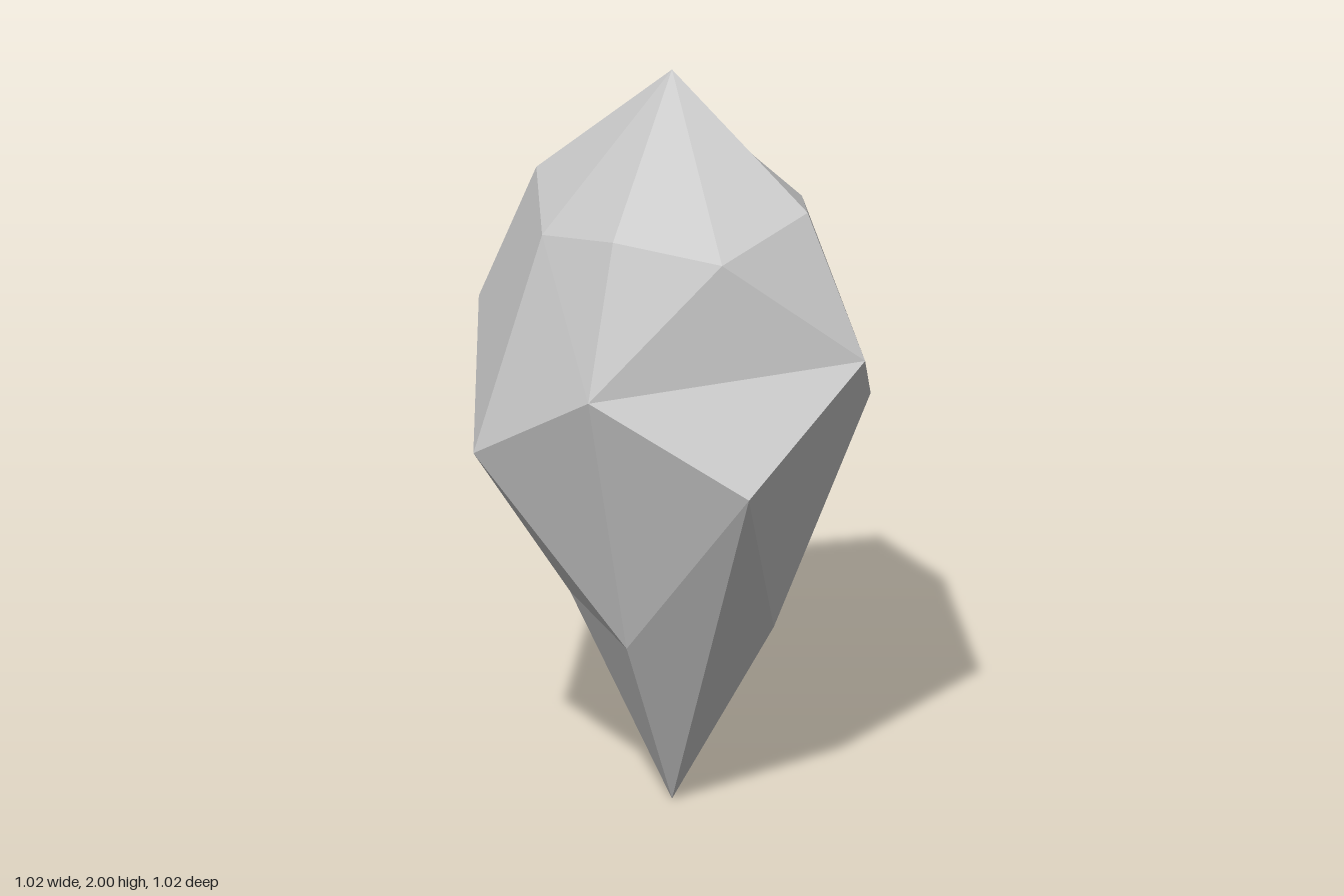
import * as THREE from 'three';

// Four points, each a quarter turn from the last about the vertical axis
function ring(x, y, z) {
  const points = [];
  for (let k = 0; k < 4; k++) {
    points.push(new THREE.Vector3(x, y, z));
    [x, z] = [z, -x];
  }
  return points;
}

// Flat facets, each turned to face away from the core of the crystal
function facets(triangles) {
  const core = new THREE.Vector3(0, 1.1, 0);
  const positions = [];
  for (const [a, b, c] of triangles) {
    const normal = b.clone().sub(a).cross(c.clone().sub(a));
    const outward = normal.dot(a.clone().add(b).add(c).divideScalar(3).sub(core)) > 0;
    for (const p of outward ? [a, b, c] : [a, c, b]) positions.push(p.x, p.y, p.z);
  }
  const geometry = new THREE.BufferGeometry();
  geometry.setAttribute('position', new THREE.Float32BufferAttribute(positions, 3));
  geometry.computeVertexNormals();
  return geometry;
}

export function createModel() {
  const group = new THREE.Group();
  group.name = 'crystal';
  const material = new THREE.MeshStandardMaterial({ color: 0xcccccc, flatShading: true });

  const tip = new THREE.Vector3(0, 2, 0);
  const foot = new THREE.Vector3(0, 0, 0);
  const shoulder = ring(0.1, 1.67, 0.36);
  const notch = ring(-0.175, 1.6, 0.305);
  const girdleHigh = ring(0.143, 1.29, 0.512);
  const girdleLow = ring(-0.267, 1.03, 0.467);
  const keel = ring(0.073, 0.52, 0.272);

  const crown = [], belt = [], point = [];
  for (let k = 0; k < 4; k++) {
    const j = (k + 3) % 4;
    const [s0, s1, n] = [shoulder[j], shoulder[k], notch[k]];
    const [h0, h1, low] = [girdleHigh[j], girdleHigh[k], girdleLow[k]];
    const [k0, k1] = [keel[j], keel[k]];

    // Crown: one sector is folded across the shoulder
    if (k === 1) crown.push([tip, s0, s1], [s0, n, s1]);
    else crown.push([tip, s0, n], [tip, n, s1]);

    // Belt: the front sector is folded across the girdle
    belt.push([s0, h0, n], [n, h1, s1]);
    if (k === 0) belt.push([n, h0, h1], [h0, low, h1]);
    else belt.push([n, h0, low], [n, low, h1]);

    // Lower point: the back left sector is folded between its keel corners
    point.push([h0, k0, low], [low, k1, h1]);
    if (k === 3) point.push([low, k0, k1], [k0, foot, k1]);
    else point.push([low, k0, foot], [low, foot, k1]);
  }

  for (const [name, triangles] of Object.entries({ crown, belt, lowerPoint: point })) {
    const mesh = new THREE.Mesh(facets(triangles), material);
    mesh.name = name;
    group.add(mesh);
  }
  return group;
}
